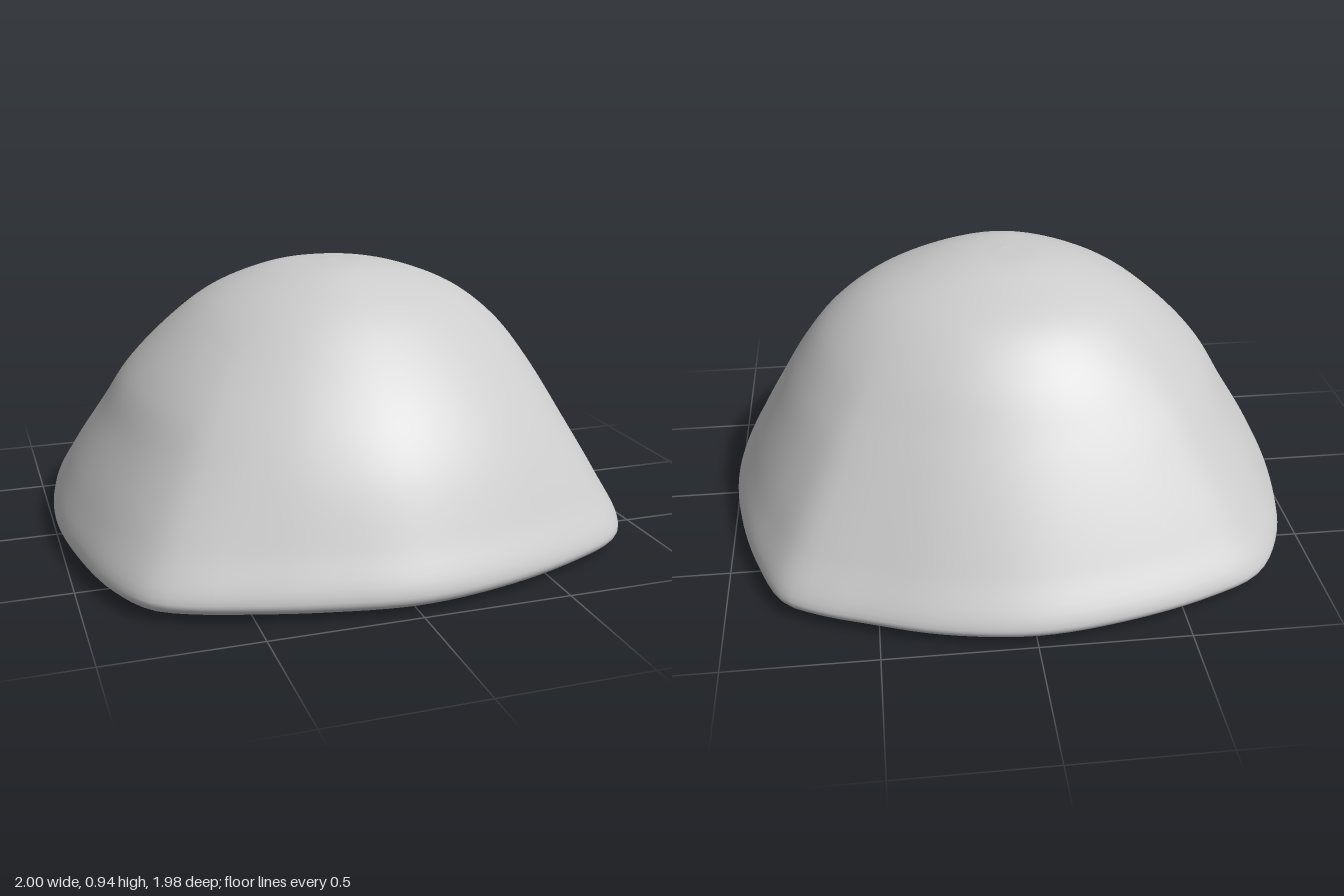
import * as THREE from 'three';

// Base outline seen from above (x, z), running from the back past the left side to the front
const OUTLINE = [
  [0, -0.995], [0.3, -0.955], [0.55, -0.87], [0.7, -0.81], [0.81, -0.74], [0.9, -0.54], [0.97, -0.27],
  [1, 0.02], [0.97, 0.32], [0.9, 0.59], [0.81, 0.73], [0.6, 0.845], [0.3, 0.945],
  [0, 0.987], [-0.3, 0.945], [-0.55, 0.88], [-0.71, 0.825], [-0.81, 0.765], [-0.9, 0.6], [-0.97, 0.31],
  [-1, 0], [-0.97, -0.31], [-0.9, -0.58], [-0.78, -0.77], [-0.6, -0.865], [-0.3, -0.955],
];

// Levels from bottom to top: height, reach to +x, -x, +z, -z, and squareness (1 = outline, 0 = round)
const LEVELS = [
  [0, 0, 0, 0, 0, 1],
  [0, 0.4, 0.4, 0.4, 0.4, 1],
  [0.002, 0.8, 0.8, 0.8, 0.8, 1],
  [0.012, 0.93, 0.93, 0.93, 0.93, 1],
  [0.03, 0.985, 0.985, 0.985, 0.985, 1],
  [0.06, 1, 1, 1, 1, 1],
  [0.2, 0.94, 0.94, 0.935, 0.91, 0.85],
  [0.4, 0.835, 0.82, 0.83, 0.775, 0.58],
  [0.55, 0.75, 0.73, 0.72, 0.665, 0.36],
  [0.7, 0.64, 0.59, 0.575, 0.545, 0.14],
  [0.82, 0.49, 0.44, 0.43, 0.405, 0.02],
  [0.9, 0.3, 0.27, 0.285, 0.225, 0],
  [0.933, 0.15, 0.14, 0.175, 0.115, 0],
  [0.943, 0, 0, 0.03, -0.03, 0],
];

const AROUND = 128;
const UP = 80;

// One vertical strip of the dome, through the given outline point
function columnCurve(p) {
  const length = Math.hypot(p.x, p.z);
  const cx = p.x / length, cz = p.z / length;
  const points = LEVELS.map(([y, px, nx, pz, nz, square]) => {
    const x = THREE.MathUtils.lerp(cx, p.x, square);
    const z = THREE.MathUtils.lerp(cz, p.z, square);
    return new THREE.Vector3(
      x * (px + nx) / 2 + (px - nx) / 2 * cx * cx,
      y,
      z * (pz + nz) / 2 + (pz - nz) / 2 * (y > 0.94 ? 1 : cz * cz),
    );
  });
  return new THREE.CatmullRomCurve3(points, false, 'centripetal');
}

function domeGeometry() {
  const outline = new THREE.CatmullRomCurve3(
    OUTLINE.map(([x, z]) => new THREE.Vector3(x, 0, z)), true, 'centripetal');
  const positions = [], index = [];
  for (let i = 0; i < AROUND; i++) {
    const column = columnCurve(outline.getPointAt(i / AROUND));
    for (let j = 0; j <= UP; j++) positions.push(...column.getPoint(j / UP).toArray());
  }
  for (let i = 0; i < AROUND; i++) {
    const a = i * (UP + 1), b = ((i + 1) % AROUND) * (UP + 1);
    for (let j = 0; j < UP; j++) {
      // The strips meet in a single point at both ends
      if (j < UP - 1) index.push(a + j, a + j + 1, b + j + 1);
      if (j > 0) index.push(a + j, b + j + 1, b + j);
      if (j === UP - 1) index.push(a + j, a + j + 1, b + j);
    }
  }
  const geometry = new THREE.BufferGeometry();
  geometry.setAttribute('position', new THREE.Float32BufferAttribute(positions, 3));
  geometry.setIndex(index);
  geometry.computeVertexNormals();
  return geometry;
}

export function createModel() {
  const model = new THREE.Group();
  model.name = 'roundedDome';
  const dome = new THREE.Mesh(domeGeometry(), new THREE.MeshStandardMaterial({ color: 0xcccccc }));
  dome.name = 'dome';
  model.add(dome);
  return model;
}
